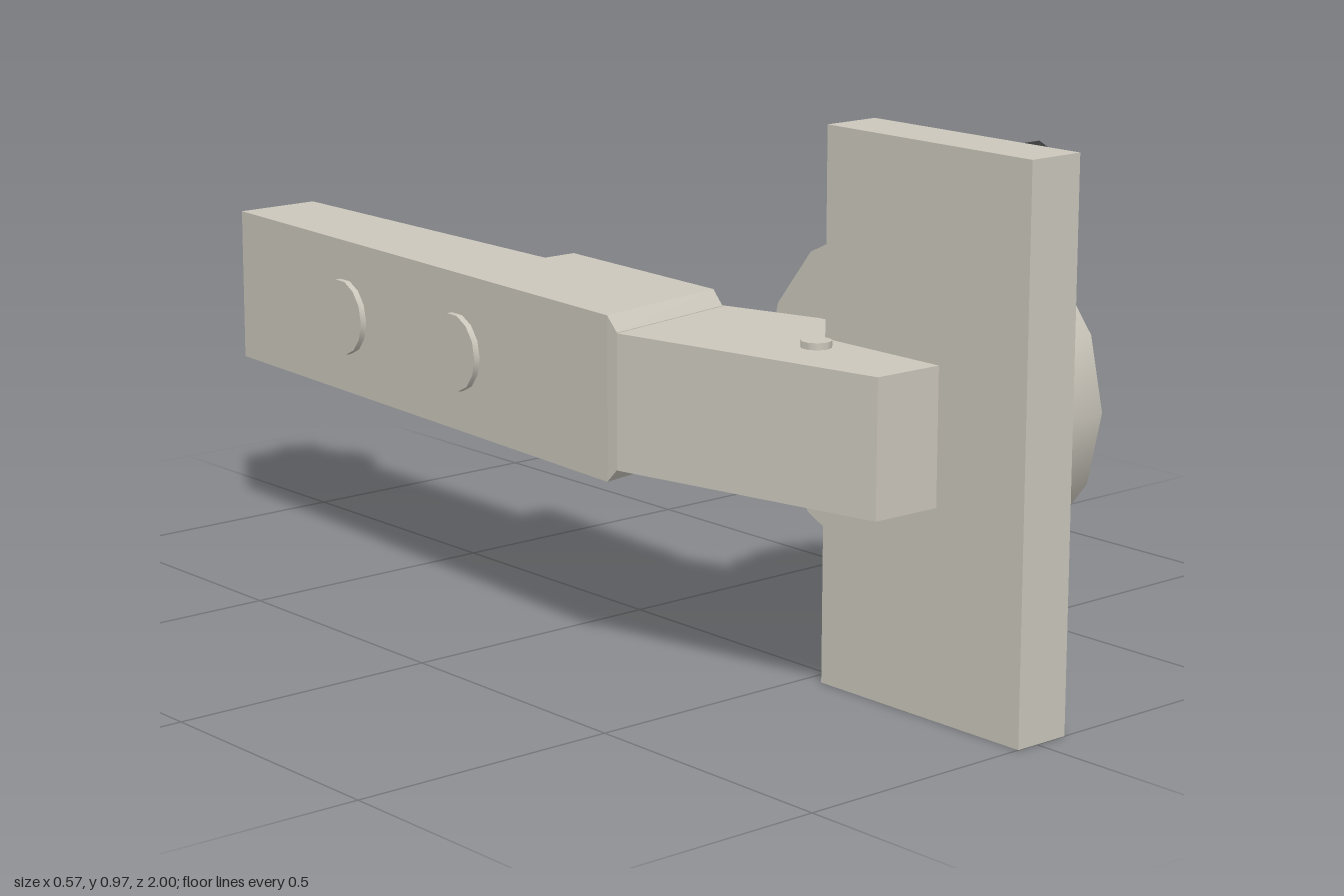
import * as THREE from 'three';
import { toCreasedNormals } from 'three/addons/utils/BufferGeometryUtils.js';
import { ConvexGeometry } from 'three/addons/geometries/ConvexGeometry.js';

const MID = 0.487; // height of the handle axis

export function createModel() {
  const group = new THREE.Group();
  const metal = new THREE.MeshStandardMaterial({ color: 0xcbc7bc });
  const dark = new THREE.MeshStandardMaterial({ color: 0x3a3a3a });

  const add = (name, geometry, material = metal) => {
    const mesh = new THREE.Mesh(geometry, material);
    mesh.name = name;
    group.add(mesh);
    return mesh;
  };
  const box = (name, x0, x1, y0, y1, z0, z1) =>
    add(name, new THREE.BoxGeometry(x1 - x0, y1 - y0, z1 - z0))
      .position.set((x0 + x1) / 2, (y0 + y1) / 2, (z0 + z1) / 2);
  const extrude = (points, depth) => new THREE.ExtrudeGeometry(
    new THREE.Shape(points.map(([a, b]) => new THREE.Vector2(a, b))),
    { depth, bevelEnabled: false });

  // Plan outline of [x, z] points, raised from y0 to y1
  const plan = (name, points, y0, y1) =>
    add(name, extrude(points.map(([x, z]) => [x, -z]), y1 - y0).rotateX(-Math.PI / 2)).position.y = y0;
  // Side outline of [z, y] points, extended from x0 to x1
  const side = (name, points, x0, x1) =>
    add(name, toCreasedNormals(extrude(points.map(([z, y]) => [-z, y]), x1 - x0).rotateY(Math.PI / 2), 0.5)).position.x = x0;

  // Mounting plate and its two dark pegs
  box('mountingPlate', -0.043, 0.066, 0, 0.97, 0.533, 1);
  for (const y of [0.104, 0.87]) {
    const peg = toCreasedNormals(new THREE.CylinderGeometry(0.065, 0.065, 0.195, 8).rotateZ(Math.PI / 2), 0.9);
    add('peg', peg, dark).position.set(0.163, y, 0.728);
  }

  // Round hub: full thin disc behind, notched thick disc in front
  const R = 0.297, HUB_Z = 0.568;
  const rim = (i) => {
    const a = i * Math.PI / 7;
    return [HUB_Z + R * Math.cos(a), MID + R * Math.sin(a)];
  };
  const full = Array.from({ length: 14 }, (_, i) => rim(i));
  side('hubBacking', full, 0.062, 0.068);
  side('hub', [
    ...[0, 1, 2, 3].map(rim),
    [0.483, MID + 0.284], [0.483, 0.615], [0.3, 0.615],
    rim(7),
    [0.3, 0.36], [0.483, 0.36], [0.483, MID - 0.284],
    ...[11, 12, 13].map(rim),
  ], 0.066, 0.284);

  // Small pins above and below the tongue of the hub and the arm
  const pins = (name, x, z, r, y, h) => {
    for (const s of [-1, 1]) {
      add(name, toCreasedNormals(new THREE.CylinderGeometry(r, r, h, 10), 0.7)).position.set(x, MID + s * y, z);
    }
  };
  pins('hubPin', 0.133, 0.323, 0.02, 0.128, 0.022);
  pins('hubPin', 0.217, 0.443, 0.02, 0.128, 0.022);
  pins('armPin', -0.1, 0.572, 0.027, 0.122, 0.018);

  // Arm from the plate to the bend
  plan('arm', [[-0.178, 0.8], [0.06, 0.805], [0.063, 0.41], [0, 0.2], [-0.285, 0.25], [-0.285, 0.275]], 0.366, 0.606);

  // Chamfered collar at the bend
  const collar = [];
  for (const s of [-1, 1]) {
    for (const [x, z, h] of [[0, 0.2, 0.146], [-0.285, 0.25, 0.146], [0, 0.224, 0.12], [-0.285, 0.276, 0.12]]) {
      collar.push(new THREE.Vector3(x, MID + s * h, z));
    }
  }
  add('bendCollar', new ConvexGeometry(collar));

  // Long grip with a step on its inner side
  plan('grip', [
    [-0.285, 0.25], [0, 0.2], [0.022, -0.215], [-0.046, -0.215], [-0.033, -0.97], [-0.203, -0.97],
  ], 0.341, 0.633);
  plan('innerPanel', [[-0.06, -0.2], [-0.036, -0.2], [-0.036, -0.75], [-0.06, -0.75]], 0.362, 0.612);
  box('stepPad', -0.04, 0.031, 0.362, 0.614, -0.232, -0.115);

  // Catch at the tip and the rib on the end face
  plan('tipCatch', [
    [-0.06, -0.8], [0.012, -0.8], [0.012, -0.855], [-0.033, -0.93], [-0.06, -0.93],
  ], 0.362, 0.614);
  plan('endRib', [[-0.105, -0.96], [-0.05, -0.96], [-0.05, -0.972], [-0.07, -1], [-0.105, -1]], 0.362, 0.614);

  // Two round caps on the outer side of the grip
  for (const z of [-0.59, -0.21]) {
    const cap = toCreasedNormals(new THREE.CylinderGeometry(0.072, 0.072, 0.024, 14).rotateZ(Math.PI / 2), 0.6);
    const mesh = add('outerCap', cap);
    mesh.position.set(-0.268 - 0.067 * z, MID, z);
    mesh.rotation.y = -0.067;
  }
  return group;
}
